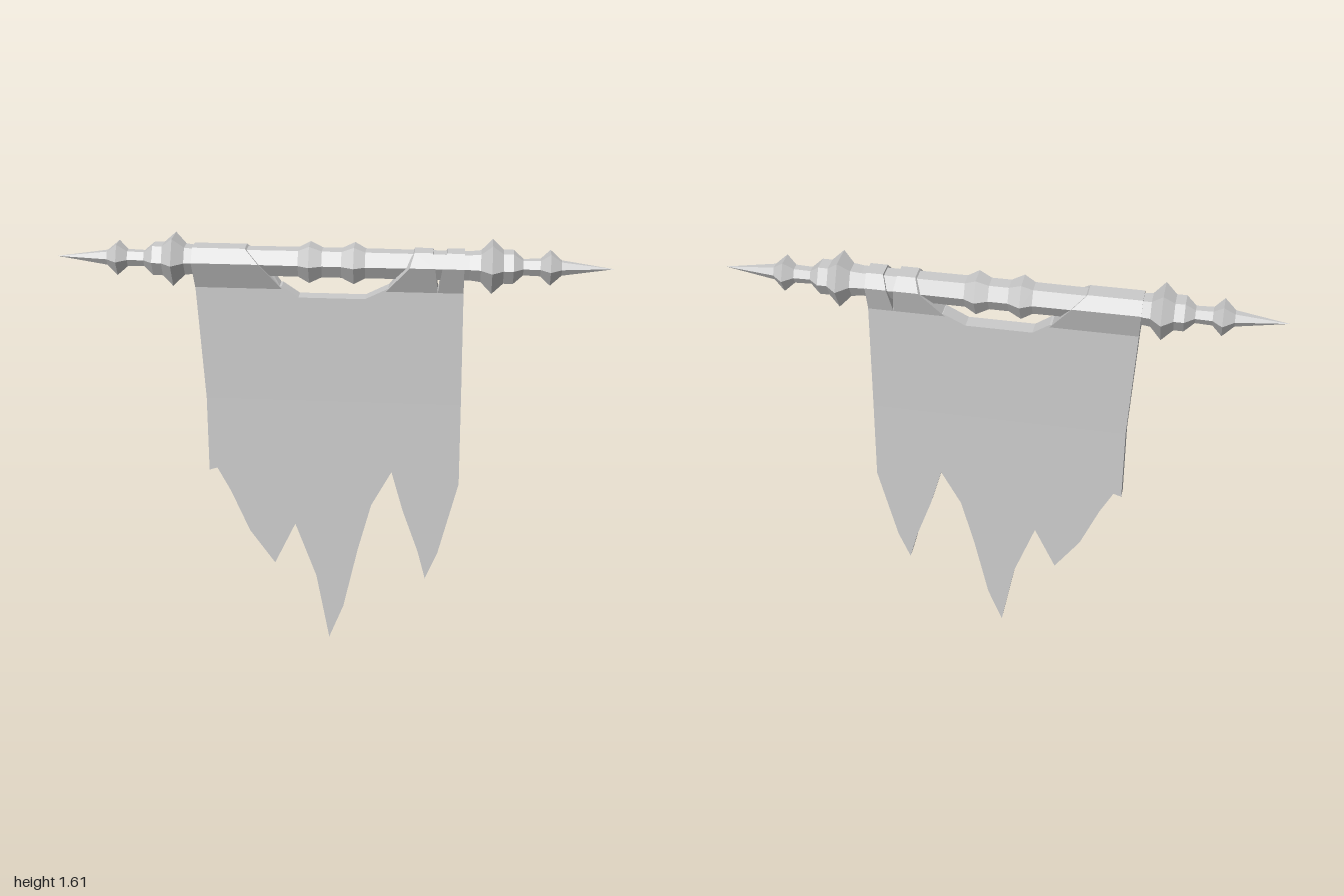
import * as THREE from 'three';

const material = new THREE.MeshStandardMaterial({ color: 0xcccccc, flatShading: true });

function facetedMesh(name, geometry) {
  const g = geometry.index ? geometry.toNonIndexed() : geometry;
  g.computeVertexNormals();
  const mesh = new THREE.Mesh(g, material);
  mesh.name = name;
  return mesh;
}

// Six-sided turned pole; half of the profile is mirrored about the middle
function makePole() {
  const half = [
    [0, 0.055], [0.035, 0.055], [0.08, 0.077], [0.12, 0.055], [0.49, 0.053],
    [0.53, 0.058], [0.57, 0.1], [0.61, 0.062], [0.645, 0.062], [0.68, 0.03],
    [0.74, 0.032], [0.775, 0.065], [0.815, 0.028], [1, 0],
  ];
  const profile = [...half.slice(1).reverse().map(([x, r]) => [-x, r]), ...half];
  const g = new THREE.LatheGeometry(profile.map(([x, r]) => new THREE.Vector2(r, x)), 6);
  g.rotateZ(-Math.PI / 2).translate(0, 1.525, 0);
  return facetedMesh('pole', g);
}

// Thick torn cloth, widening slightly towards the pole
function makeCloth() {
  const lower = [
    [-0.467, 1], [-0.465, 0.705], [-0.435, 0.715], [-0.385, 0.62], [-0.315, 0.455],
    [-0.22, 0.32], [-0.14, 0.49], [-0.06, 0.27], [-0.01, 0], [0.045, 0.14],
    [0.1, 0.39], [0.15, 0.58], [0.225, 0.72], [0.27, 0.56], [0.33, 0.39],
    [0.36, 0.275], [0.405, 0.385], [0.478, 0.68], [0.476, 1],
  ];
  const upper = [
    [-0.467, 1], [0.476, 1], [0.472, 1.44], [0.2, 1.44], [0.12, 1.4],
    [-0.12, 1.4], [-0.18, 1.44], [-0.494, 1.44],
  ];
  const shapes = [lower, upper].map(
    (pts) => new THREE.Shape(pts.map(([x, y]) => new THREE.Vector2(x, y))));
  const g = new THREE.ExtrudeGeometry(shapes, { depth: 0.044, bevelEnabled: false });
  g.translate(0, 0, -0.022);
  const p = g.attributes.position;
  for (let i = 0; i < p.count; i++) {
    const flare = 1 + Math.max(0, p.getY(i) - 1) * 0.85;
    p.setZ(i, p.getZ(i) * flare);
  }
  return facetedMesh('cloth', g);
}

// Hexagonal sleeve round the pole; each end has its own x at low, middle and top
function makeSleeve(name, left, right) {
  const section = [
    [0.03, 1.43, 0], [-0.03, 1.43, 0], [-0.062, 1.532, 1],
    [-0.032, 1.578, 2], [0.035, 1.578, 2], [0.075, 1.532, 1],
  ];
  const n = section.length;
  const points = [];
  for (const end of [left, right]) {
    for (const [z, y, level] of section) points.push(end[level], y, z);
  }
  const index = [];
  for (let i = 0; i < n; i++) {
    const j = (i + 1) % n;
    index.push(i, j, n + j, i, n + j, n + i);
  }
  for (let i = 1; i < n - 1; i++) {
    index.push(0, i + 1, i, n, n + i, n + i + 1);
  }
  const g = new THREE.BufferGeometry();
  g.setAttribute('position', new THREE.Float32BufferAttribute(points, 3));
  g.setIndex(index);
  return facetedMesh(name, g);
}

export function createModel() {
  const model = new THREE.Group();
  model.name = 'tornBanner';
  model.add(
    makePole(),
    makeCloth(),
    makeSleeve('rightSleeve', [-0.494, -0.5, -0.5], [-0.18, -0.26, -0.31]),
    makeSleeve('leftInnerSleeve', [0.195, 0.28, 0.295], [0.38, 0.37, 0.36]),
    makeSleeve('leftOuterSleeve', [0.38, 0.395, 0.41], [0.472, 0.472, 0.472]),
  );
  return model;
}
